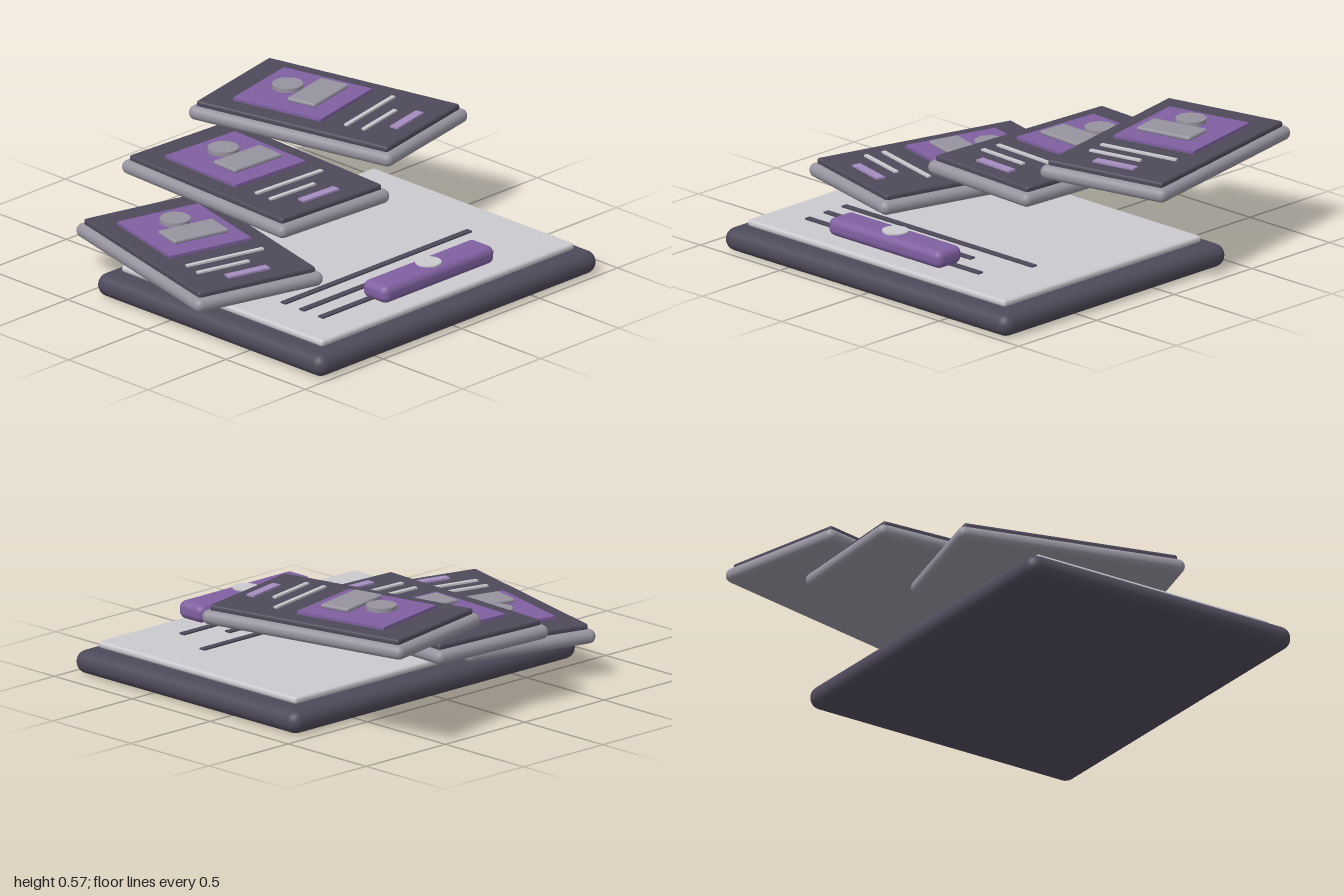
import * as THREE from 'three';
import { RoundedBoxGeometry } from 'three/addons/geometries/RoundedBoxGeometry.js';

function material(name, color) {
  const m = new THREE.MeshStandardMaterial({ color });
  m.name = name;
  return m;
}

export function createModel() {
  const dark = material('dark slate', 0x4e495a);
  const grey = material('lavender grey', 0x96939f);
  const purple = material('purple', 0x7f60a0);
  const lilac = material('lilac', 0xa58bbf);
  const paper = material('pale paper', 0xcac9ce);

  function add(parent, name, geometry, mat, x, y, z) {
    const mesh = new THREE.Mesh(geometry, mat);
    mesh.name = name;
    mesh.position.set(x, y, z);
    parent.add(mesh);
    return mesh;
  }

  // Slab given by its centre in plan, its bottom and top heights and its edge radius
  function slab(parent, name, mat, x, z, w, d, y0, y1, r = 0) {
    const h = y1 - y0;
    const geometry = r ? new RoundedBoxGeometry(w, h, d, 4, r) : new THREE.BoxGeometry(w, h, d);
    return add(parent, name, geometry, mat, x, (y0 + y1) / 2, z);
  }

  function disc(parent, name, mat, x, z, r, y0, y1) {
    return add(parent, name, new THREE.CylinderGeometry(r, r, y1 - y0, 32), mat, x, (y0 + y1) / 2, z);
  }

  const model = new THREE.Group();
  model.name = 'cardBoard';

  // Board with its sheet and printed lines
  slab(model, 'board', dark, 0.01, 0.267, 1.79, 1.436, 0, 0.108, 0.053);
  slab(model, 'sheet', paper, 0.01, 0.273, 1.62, 1.27, 0.115, 0.148, 0.015);
  [[0.475, 1.195], [0.592, 0.92], [0.712, 1.09]].forEach(([z, w], i) =>
    slab(model, 'sheetLine' + (i + 1), dark, -0.61 + w / 2, z, w, 0.032, 0.146, 0.155));

  // Raised button with a plain seal
  slab(model, 'button', purple, 0.01, 0.783, 0.71, 0.157, 0.17, 0.255, 0.035);
  disc(model, 'buttonSeal', paper, 0.01, 0.78, 0.06, 0.253, 0.261);

  // Profile card, modelled flat around its own centre
  function profileCard(name, x, y, z, degrees) {
    const card = new THREE.Group();
    card.name = name;
    card.position.set(x, y, z);
    card.rotation.y = THREE.MathUtils.degToRad(degrees);
    slab(card, 'cardFrame', grey, 0, 0, 0.67, 1.085, 0, 0.066, 0.032);
    slab(card, 'cardFace', dark, 0, 0, 0.61, 1.02, 0.06, 0.091, 0.012);
    slab(card, 'portraitPanel', purple, 0, -0.136, 0.425, 0.47, 0.089, 0.105);
    disc(card, 'portraitHead', grey, 0, -0.216, 0.07, 0.115, 0.135);
    slab(card, 'portraitShoulders', grey, 0, -0.055, 0.285, 0.15, 0.115, 0.135, 0.009);
    slab(card, 'longTextLine', paper, 0, 0.222, 0.4, 0.02, 0.094, 0.103);
    slab(card, 'shortTextLine', paper, -0.065, 0.315, 0.27, 0.02, 0.094, 0.103);
    slab(card, 'cardTag', lilac, 0, 0.42, 0.215, 0.042, 0.094, 0.103);
    model.add(card);
  }

  // Three cards fanned out, each one higher than the last
  profileCard('leftCard', -0.537, 0.16, -0.123, -14.7);
  profileCard('middleCard', 0.01, 0.3, -0.308, -3);
  profileCard('rightCard', 0.56, 0.44, -0.393, 12);

  return model;
}
